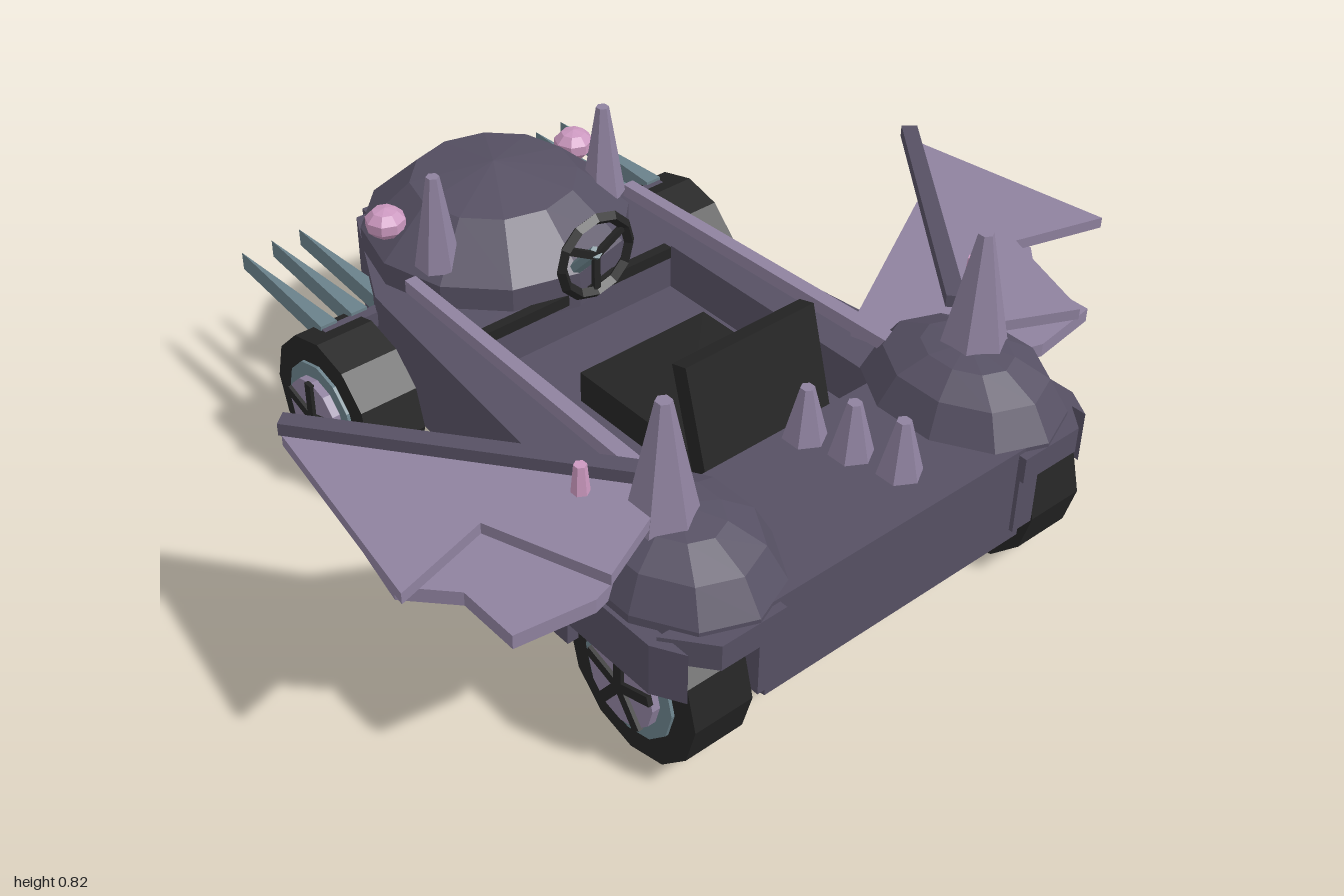
import * as THREE from 'three';

const mat = (name, color) => Object.assign(new THREE.MeshStandardMaterial({ color }), { name });

export function createModel() {
  const root = new THREE.Group();
  root.name = 'spikedBuggy';
  const body = mat('dusk purple', 0x565063);
  const lilac = mat('lilac', 0x8f829f);
  const teal = mat('slate teal', 0x6a818a);
  const black = mat('black', 0x242424);
  const pink = mat('pink', 0xcb98bf);

  // Faceted mesh
  const add = (name, geometry, material, x = 0, y = 0, z = 0, parent = root) => {
    const flat = geometry.index ? geometry.toNonIndexed() : geometry;
    flat.computeVertexNormals();
    const mesh = new THREE.Mesh(flat, material);
    mesh.name = name;
    mesh.position.set(x, y, z);
    parent.add(mesh);
    return mesh;
  };
  const box = (name, m, w, h, d, x, y, z, parent) =>
    add(name, new THREE.BoxGeometry(w, h, d), m, x, y, z, parent);
  const spike = (name, m, r, top, y0, y1, x, z) =>
    add(name, new THREE.CylinderGeometry(top, r, y1 - y0, 6), m, x, (y0 + y1) / 2, z);

  // Slab raised from a plan outline of [x, z] points
  const toPath = (pts, Type) => new Type(pts.map(([x, z]) => new THREE.Vector2(x, -z)));
  const slab = (name, m, pts, y0, y1, hole) => {
    const shape = toPath(pts, THREE.Shape);
    if (hole) shape.holes.push(toPath(hole, THREE.Path));
    const g = new THREE.ExtrudeGeometry(shape, { depth: y1 - y0, bevelEnabled: false });
    return add(name, g.rotateX(-Math.PI / 2), m, 0, y0, 0);
  };
  const mirrored = half => [...half, ...half.map(([x, z]) => [-x, z]).reverse()];

  // Dome turned from [radius, height] points, stretched to an oval
  const dome = (name, profile, sides, rx, rz, x, z) => {
    const pts = profile.map(([r, y]) => new THREE.Vector2(r, y));
    add(name, new THREE.LatheGeometry(pts, sides).scale(rx, 1, rz), body, x, 0, z);
  };

  // Hull: floor pan, cockpit walls and end plate
  const plan = mirrored([[0.38, 0.88], [0.47, 0.38], [0.38, -0.48], [0.22, -0.8]]);
  slab('floorPan', body, plan, 0.17, 0.3);
  slab('cockpitWalls', body, plan, 0.3, 0.42,
    mirrored([[0.3, 0.5], [0.3, -0.2]]));
  slab('tailPlate', body, mirrored([[0.17, -0.7], [0.14, -0.9]]), 0.27, 0.365);

  // Rounded hood
  dome('hoodDome', [[0, 0.385], [1, 0.385], [1, 0.48], [0.62, 0.595], [0, 0.635]], 12, 0.33, 0.33, 0, -0.51);
  box('dashboard', black, 0.58, 0.03, 0.025, 0, 0.41, -0.2);

  // Seat and steering
  box('seatCushion', black, 0.37, 0.08, 0.36, 0, 0.37, 0.23);
  box('seatBack', black, 0.37, 0.27, 0.045, 0, 0.49, 0.42).rotation.x = -0.28;
  add('steeringWheel', new THREE.TorusGeometry(0.1, 0.015, 4, 12), black, 0, 0.56, -0.12);
  for (let i = 0; i < 3; i++) {
    const spoke = box('steeringSpoke', black, 0.018, 0.1, 0.012, 0, 0.56, -0.12);
    spoke.geometry.translate(0, 0.05, 0);
    spoke.rotation.z = Math.PI / 3 + i * Math.PI * 2 / 3;
  }
  add('steeringColumn', new THREE.CylinderGeometry(0.016, 0.016, 0.15, 6), teal, 0, 0.515, -0.17)
    .rotation.x = 0.75;

  // Row of spikes along the middle
  [[0.46, 0.58], [0.5, 0.715], [0.535, 0.85]].forEach(([y, z]) =>
    spike('middleSpike', lilac, 0.05, 0.016, y, y + 0.13, 0, z));

  // Wheel with rim, hub and five spokes
  const wheel = (name, s, z) => {
    const g = new THREE.Group();
    g.name = name;
    g.position.set(0, 0.195, z);
    const disc = (part, m, r, x0, x1) =>
      add(part, new THREE.CylinderGeometry(r, r, x1 - x0, 12).rotateZ(Math.PI / 2), m,
        s * (x0 + x1) / 2, 0, 0, g);
    disc('tyre', black, 0.197, 0.42, 0.572);
    disc('rim', teal, 0.135, 0.5, 0.58);
    disc('hub', lilac, 0.1, 0.5, 0.6);
    for (let i = 0; i < 5; i++) {
      const spoke = box('wheelSpoke', black, 0.012, 0.1, 0.024, s * 0.603, 0, 0, g);
      spoke.geometry.translate(0, 0.05, 0);
      spoke.rotation.x = i * Math.PI * 2 / 5;
    }
    root.add(g);
  };

  for (const s of [1, -1]) {
    const side = pts => pts.map(([x, z]) => [s * x, z]);
    wheel('noseWheel', s, 0.69);
    wheel('hoodWheel', s, -0.44);

    // Fender shell around the wheel
    dome('fenderDome', [[0, 0.35], [1, 0.35], [1, 0.42], [0.8, 0.495], [0.45, 0.535], [0, 0.55]],
      10, 0.2, 0.25, s * 0.42, 0.65);
    slab('fenderInner', body, side([[0.33, 0.42], [0.41, 0.42], [0.41, 0.89], [0.35, 0.89]]), 0.2, 0.4);
    slab('fenderOuter', body, side([[0.58, 0.48], [0.62, 0.52], [0.62, 0.8], [0.58, 0.87]]), 0.27, 0.4);
    slab('fenderRear', body, side([[0.33, 0.4], [0.5, 0.38], [0.6, 0.45], [0.6, 0.52], [0.33, 0.52]]), 0.18, 0.4);
    slab('fenderFront', body, side([[0.35, 0.8], [0.6, 0.8], [0.52, 0.9], [0.35, 0.9]]), 0.345, 0.41);

    // Horns, pink studs and eyes
    spike('fenderHorn', lilac, 0.085, 0.018, 0.5, 0.815, s * 0.45, 0.64);
    spike('hoodHorn', lilac, 0.055, 0.016, 0.5, 0.74, s * 0.25, -0.4);
    spike('pinkStud', pink, 0.032, 0.014, 0.45, 0.645, s * 0.563, 0.525);
    add('eye', new THREE.SphereGeometry(0.052, 8, 5).scale(1, 0.75, 1), pink, s * 0.285, 0.553, -0.56);

    // Side rail
    slab('sideRail', lilac, side([[0.385, 0.65], [0.345, 0.65], [0.315, -0.4], [0.345, -0.4]]), 0.462, 0.495);

    // Two-layer wing with its leading bone
    slab('upperWing', lilac, side([[0.45, 0.6], [0.92, 0], [1, 0.54], [0.77, 0.475], [0.67, 0.75], [0.48, 0.66]]),
      0.55, 0.577);
    slab('lowerWing', lilac, side([[0.37, 0.35], [0.87, 0.08], [0.93, 0.4], [0.835, 0.5], [0.835, 0.655],
      [0.65, 0.68], [0.45, 0.62]]), 0.417, 0.452);
    slab('wingBone', body, side([[0.44, 0.56], [0.9, -0.02], [0.93, 0.005], [0.47, 0.59]]), 0.585, 0.615);

    // Exhaust blades
    box('bladeMount', body, 0.2, 0.04, 0.03, s * 0.42, 0.36, -0.49);
    for (const x of [0.335, 0.415, 0.5])
      slab('exhaustBlade', teal, side([[x - 0.022, -0.5], [x + 0.022, -0.5], [x, -0.89]]), 0.34, 0.388);
  }
  return root;
}
